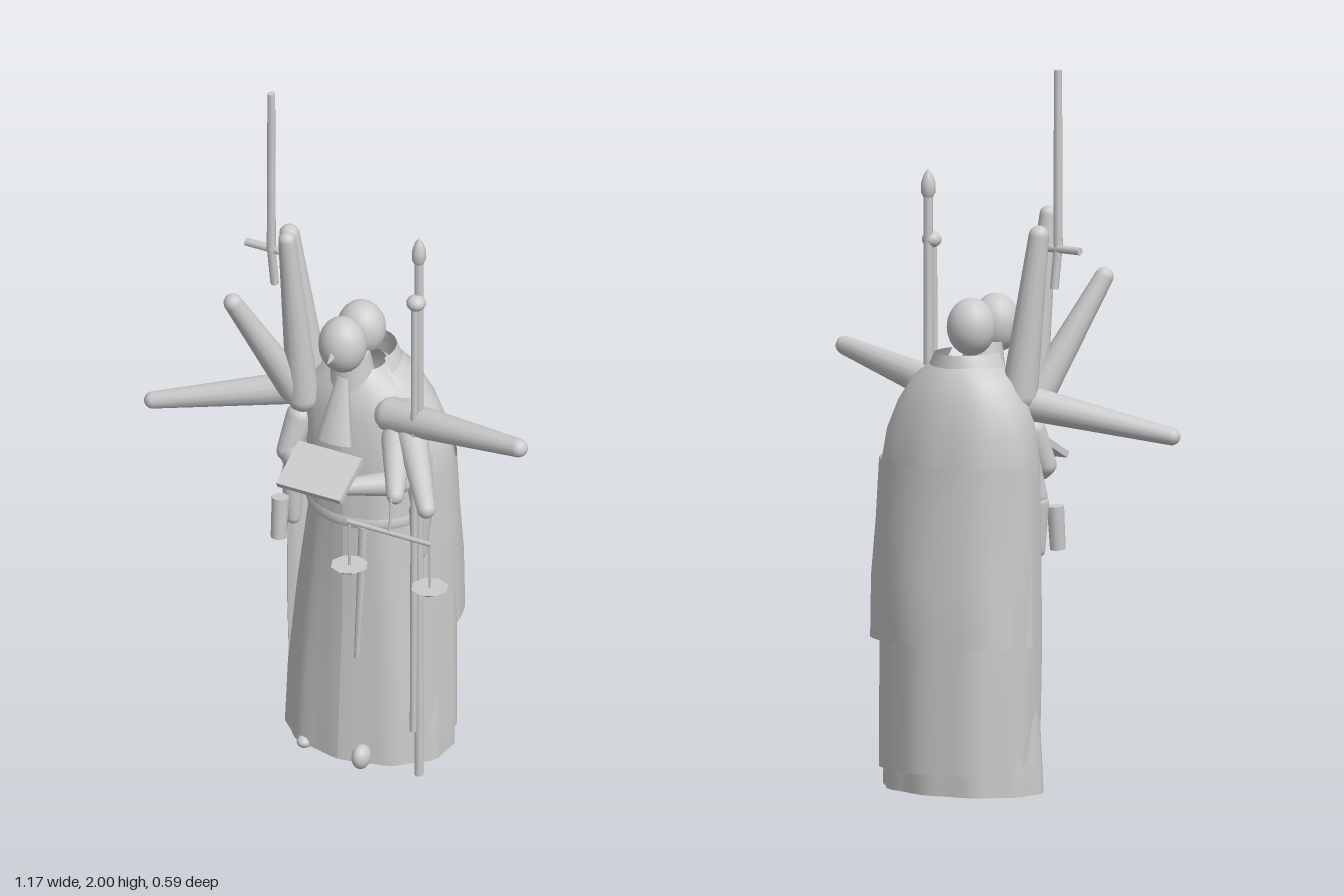
import * as THREE from 'three';

const V = (p) => new THREE.Vector3(...p);

export function createModel() {
  const model = new THREE.Group();
  const mat = new THREE.MeshStandardMaterial({ color: 0xcccccc });
  const thin = new THREE.MeshStandardMaterial({ color: 0xcccccc, side: THREE.DoubleSide });

  function add(name, geo, pos = [0, 0, 0], material = mat) {
    const m = new THREE.Mesh(geo, material);
    m.name = name;
    m.position.set(...pos);
    model.add(m);
    return m;
  }

  // Turn a +y aligned mesh so that it runs from a to b
  function aim(m, a, b) {
    m.position.copy(V(a));
    m.quaternion.setFromUnitVectors(new THREE.Vector3(0, 1, 0), V(b).sub(V(a)).normalize());
    return m;
  }

  // Tapered limb with rounded ends, its tips at a and b
  function limb(name, a, b, ra, rb) {
    const len = V(a).distanceTo(V(b));
    const pts = [];
    for (let i = 0; i <= 5; i++) {
      const t = (i / 5) * Math.PI / 2;
      pts.push(new THREE.Vector2(ra * Math.sin(t), ra * (1 - Math.cos(t))));
    }
    for (let i = 0; i <= 5; i++) {
      const t = (i / 5) * Math.PI / 2;
      pts.push(new THREE.Vector2(rb * Math.cos(t), len - rb * (1 - Math.sin(t))));
    }
    return aim(add(name, new THREE.LatheGeometry(pts, 14)), a, b);
  }

  function rod(name, a, b, ra, rb = ra, sides = 8) {
    const len = V(a).distanceTo(V(b));
    const g = new THREE.CylinderGeometry(rb, ra, len, sides).translate(0, len / 2, 0);
    return aim(add(name, g), a, b);
  }

  function ball(name, pos, r, scale = [1, 1, 1]) {
    const m = add(name, new THREE.SphereGeometry(r, 18, 12), pos);
    m.scale.set(...scale);
    return m;
  }

  // Skin over elliptic rings [y, cx, cz, rx, rz], bottom to top.
  // The arc is centred on the back (-z); fold adds pleats that fade upward.
  function loft(name, rings, half, fold, pleats, material) {
    const n = 48, pos = [], idx = [];
    rings.forEach(([y, cx, cz, rx, rz], j) => {
      const f = fold * (1 - j / (rings.length - 1));
      for (let i = 0; i <= n; i++) {
        const a = -half + (2 * half * i) / n;
        const k = 1 + f * Math.cos(a * pleats);
        pos.push(cx - Math.sin(a) * rx * k, y, cz - Math.cos(a) * rz * k);
      }
    });
    for (let j = 0; j < rings.length - 1; j++) {
      for (let i = 0; i < n; i++) {
        const a = j * (n + 1) + i, b = a + n + 1;
        idx.push(a, b, a + 1, a + 1, b, b + 1);
      }
    }
    const g = new THREE.BufferGeometry();
    g.setAttribute('position', new THREE.Float32BufferAttribute(pos, 3));
    g.setIndex(idx);
    g.computeVertexNormals();
    return add(name, g, [0, 0, 0], material);
  }

  // Robe, hem floor, belt and layered cape
  loft('robe', [
    [0.02, -0.01, -0.075, 0.24, 0.175], [0.2, -0.01, -0.08, 0.235, 0.17],
    [0.45, -0.01, -0.08, 0.21, 0.155], [0.75, -0.01, -0.07, 0.165, 0.14],
    [0.92, -0.01, -0.07, 0.18, 0.145], [1.06, -0.02, -0.07, 0.185, 0.135],
    [1.14, -0.03, -0.07, 0.15, 0.115], [1.19, -0.03, -0.06, 0.07, 0.07],
  ], Math.PI, 0.025, 10, thin);
  const hem = add('hemFloor', new THREE.CircleGeometry(1, 32), [-0.01, 0.02, -0.075], thin);
  hem.rotation.x = Math.PI / 2;
  hem.scale.set(0.24, 0.175, 1);
  loft('belt', [[0.74, -0.01, -0.07, 0.172, 0.147], [0.755, -0.01, -0.07, 0.177, 0.152],
    [0.77, -0.01, -0.07, 0.172, 0.147]], Math.PI, 0, 1, thin);
  loft('cape', [
    [0.08, -0.005, -0.09, 0.237, 0.185], [0.43, -0.01, -0.09, 0.243, 0.182],
    [0.9, -0.01, -0.09, 0.243, 0.17], [1.0, -0.015, -0.09, 0.228, 0.158],
    [1.08, -0.025, -0.09, 0.2, 0.145], [1.15, -0.03, -0.09, 0.155, 0.12],
    [1.19, -0.03, -0.09, 0.1, 0.09],
  ], 2.1, 0.015, 9, thin);
  loft('overCape', [
    [0.43, 0, -0.09, 0.257, 0.192], [0.6, 0, -0.09, 0.252, 0.197],
    [0.75, -0.005, -0.09, 0.248, 0.182], [0.92, -0.01, -0.09, 0.245, 0.174],
  ], 1.62, 0.015, 7, thin);
  loft('collar', [[1.13, -0.03, -0.08, 0.125, 0.115], [1.18, -0.03, -0.08, 0.11, 0.105],
    [1.22, -0.03, -0.08, 0.085, 0.1]], 1.9, 0, 1, thin);

  // Head with a second head behind it
  rod('neck', [-0.03, 1.12, -0.02], [-0.03, 1.24, -0.01], 0.07, 0.05, 16);
  ball('frontHead', [-0.03, 1.285, 0.04], 0.065, [1.03, 1.25, 1]);
  ball('backHead', [-0.03, 1.285, -0.065], 0.066, [1.03, 1.2, 1]);
  rod('nose', [-0.03, 1.28, 0.09], [-0.03, 1.265, 0.125], 0.018, 0.001, 6);
  const chest = rod('chestPendant', [-0.03, 1.0, 0.085], [-0.03, 1.18, 0.04], 0.055, 0.018, 10);
  chest.scale.z = 0.5;

  // Outstretched, raised and lowered arms
  limb('rightOutstretchedArm', [-0.1, 1.1, -0.04], [-0.585, 1.005, 0.15], 0.05, 0.024);
  limb('leftOutstretchedArm', [0.06, 1.08, 0.0], [0.58, 1.165, 0.115], 0.05, 0.026);
  limb('rightRaisedArm', [-0.155, 1.04, 0.03], [-0.18, 1.615, 0.085], 0.045, 0.024);
  limb('swordArm', [-0.17, 1.06, -0.04], [-0.23, 1.575, -0.015], 0.05, 0.028);
  limb('rightForwardRaisedArm', [-0.17, 1.07, 0.02], [-0.295, 1.44, 0.2], 0.045, 0.026);
  limb('leftForwardArm', [0.14, 1.08, -0.02], [0.34, 0.945, 0.23], 0.045, 0.026);
  limb('scalesArm', [0.12, 1.05, 0.0], [0.23, 0.95, 0.215], 0.045, 0.024);
  limb('staffArm', [0.12, 1.12, -0.03], [0.215, 0.99, 0.06], 0.045, 0.03);
  for (const s of [-1, 1]) {
    const cx = -0.005;
    limb('loweredUpperArm', [cx + s * 0.16, 1.0, -0.04], [cx + s * 0.205, 0.8, 0.01], 0.045, 0.03);
    limb('loweredForearm', [cx + s * 0.2, 0.84, 0.005], [cx + s * 0.195, 0.66, 0.01], 0.032, 0.022);
    limb('bookUpperArm', [-0.02 + s * 0.15, 1.04, 0.0], [-0.02 + s * 0.18, 0.88, 0.06], 0.04, 0.032);
    limb('bookForearm', [-0.02 + s * 0.18, 0.9, 0.03], [-0.03 + s * 0.05, 0.9, 0.14], 0.036, 0.024);
  }

  // Open book, scroll and hanging belt end
  const book = add('book', new THREE.BoxGeometry(0.198, 0.018, 0.145), [-0.031, 0.945, 0.165]);
  book.rotation.x = 0.5;
  rod('scroll', [-0.19, 0.67, 0.11], [-0.19, 0.79, 0.1], 0.022, 0.024, 10);
  rod('scabbard', [0.045, 0.35, 0.095], [0.06, 0.76, 0.085], 0.008, 0.014);

  // Sword
  rod('swordBlade', [-0.26, 1.51, 0.025], [-0.26, 2, 0.025], 0.013, 0.011);
  rod('swordGrip', [-0.255, 1.4, 0.015], [-0.26, 1.51, 0.025], 0.012);
  rod('swordGuard', [-0.34, 1.51, 0.022], [-0.185, 1.51, 0.022], 0.011);

  // Spear and mace
  rod('spearShaft', [0.207, 0, 0.04], [0.207, 1.61, 0.04], 0.013);
  add('spearHead', new THREE.LatheGeometry([[0.012, 0], [0.02, 0.015], [0.02, 0.04], [0.012, 0.065], [0, 0.08]]
    .map((p) => new THREE.Vector2(...p)), 8), [0.207, 1.605, 0.04]);
  rod('maceShaft', [0.205, 0.15, 0.068], [0.205, 1.49, 0.06], 0.01);
  ball('maceHead', [0.207, 1.49, 0.055], 0.027, [1, 0.85, 1]);
  ball('spearHand', [0.207, 1.0, 0.055], 0.035);

  // Balance scales
  rod('scalesBeam', [0.1, 0.87, 0.245], [0.36, 0.87, 0.245], 0.007);
  rod('scalesHanger', [0.23, 0.87, 0.245], [0.23, 0.97, 0.235], 0.004);
  for (const x of [0.105, 0.355]) {
    rod('scalesCord', [x, 0.73, 0.245], [x, 0.87, 0.245], 0.004, 0.004, 6);
    rod('scalesPan', [x, 0.715, 0.245], [x, 0.735, 0.245], 0.02, 0.052);
  }

  // Shoe tips
  ball('leftShoe', [0.07, 0.055, 0.115], 0.028, [0.9, 1.25, 1.2]);
  ball('rightShoe', [-0.13, 0.025, 0.07], 0.022, [1, 0.8, 1.2]);

  return model;
}
